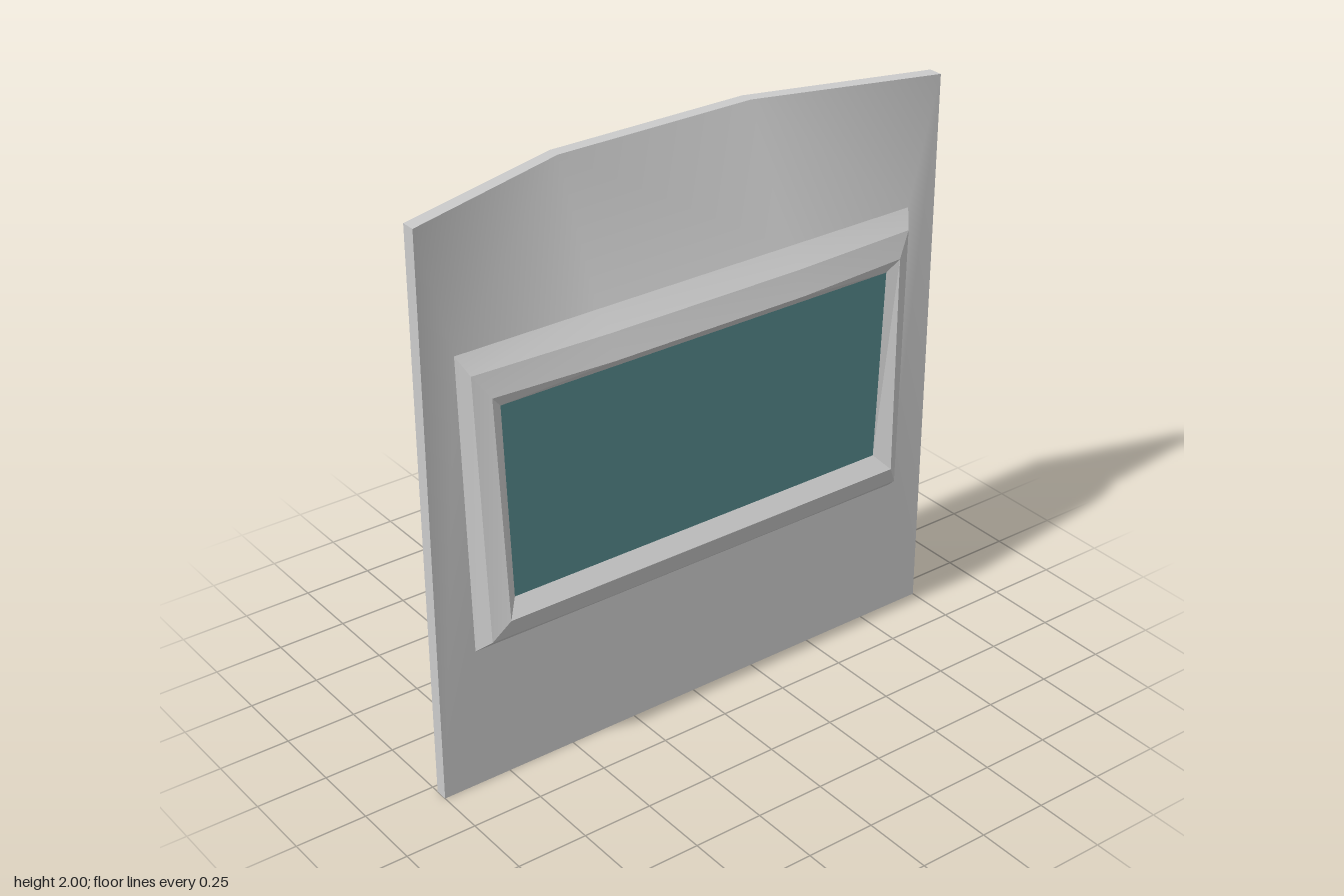
import * as THREE from 'three';
import { toCreasedNormals } from 'three/addons/utils/BufferGeometryUtils.js';

const MID = 0.37; // x of the two fold lines in the bowed panel

// Eight-point ring, anticlockwise from the front.
// bottom / top: [corner x, y, corner z, z at the fold lines]
function ring([bx, by, bz, bm], [tx, ty, tz, tm]) {
  return [
    [-bx, by, bz], [-MID, by, bm], [MID, by, bm], [bx, by, bz],
    [tx, ty, tz], [MID, ty, tm], [-MID, ty, tm], [-tx, ty, tz],
  ];
}

// Skin a row of rings, with mirrored diagonals on both halves
function loft(rings, creaseDegrees) {
  const pos = [];
  for (let r = 0; r < rings.length - 1; r++) {
    const a = rings[r], b = rings[r + 1];
    for (let i = 0; i < 8; i++) {
      const j = (i + 1) % 8;
      const tris = i % 4 === 2
        ? [a[i], a[j], b[j], a[i], b[j], b[i]]
        : [a[i], a[j], b[i], a[j], b[j], b[i]];
      pos.push(...tris.flat());
    }
  }
  const geo = new THREE.BufferGeometry();
  geo.setAttribute('position', new THREE.Float32BufferAttribute(pos, 3));
  return toCreasedNormals(geo, THREE.MathUtils.degToRad(creaseDegrees));
}

// Flat pane filling a ring
function pane(edge) {
  const shape = new THREE.Shape(edge.map(([x, y]) => new THREE.Vector2(x, y)));
  return new THREE.ShapeGeometry(shape).translate(0, 0, edge[0][2]);
}

export function createModel() {
  const model = new THREE.Group();
  const grey = new THREE.MeshStandardMaterial({ color: 0xcccccc });
  const teal = new THREE.MeshStandardMaterial({ color: 0x568a8d, side: THREE.DoubleSide });

  const add = (name, geometry, material) => {
    const mesh = new THREE.Mesh(geometry, material);
    mesh.name = name;
    model.add(mesh);
  };

  // Rings from the inner pane, out round the panel, to the outer pane
  const innerGlassEdge = ring([0.79, 0.62, 0.075, 0.075], [0.81, 1.44, 0.075, 0.075]);
  const opening = ring([0.79, 0.62, 0.03, -0.12], [0.81, 1.44, 0.03, -0.075]);
  const backRim = ring([1, 0, 0.03, 0.03], [1, 2, 0.025, -0.165]);
  const frontRim = ring([1, 0, 0.075, 0.075], [1, 2, 0.075, -0.12]);
  const frameFoot = ring([0.86, 0.51, 0.075, 0.075], [0.885, 1.56, 0.075, 0.075]);
  const frameBevel = ring([0.83, 0.56, 0.13, 0.135], [0.855, 1.5, 0.115, 0.133]);
  const frameRidge = ring([0.78, 0.64, 0.165, 0.165], [0.8, 1.42, 0.14, 0.165]);
  const outerGlassEdge = ring([0.735, 0.69, 0.12, 0.12], [0.76, 1.375, 0.12, 0.12]);

  add('windowReveal', loft([innerGlassEdge, opening], 32), grey);
  add('wallPanel', loft([opening, backRim, frontRim, frameFoot], 32), grey);
  add('windowFrame', loft([frameFoot, frameBevel, frameRidge, outerGlassEdge], 12), grey);
  add('innerGlass', pane(innerGlassEdge), teal);
  add('outerGlass', pane(outerGlassEdge), teal);

  return model;
}
